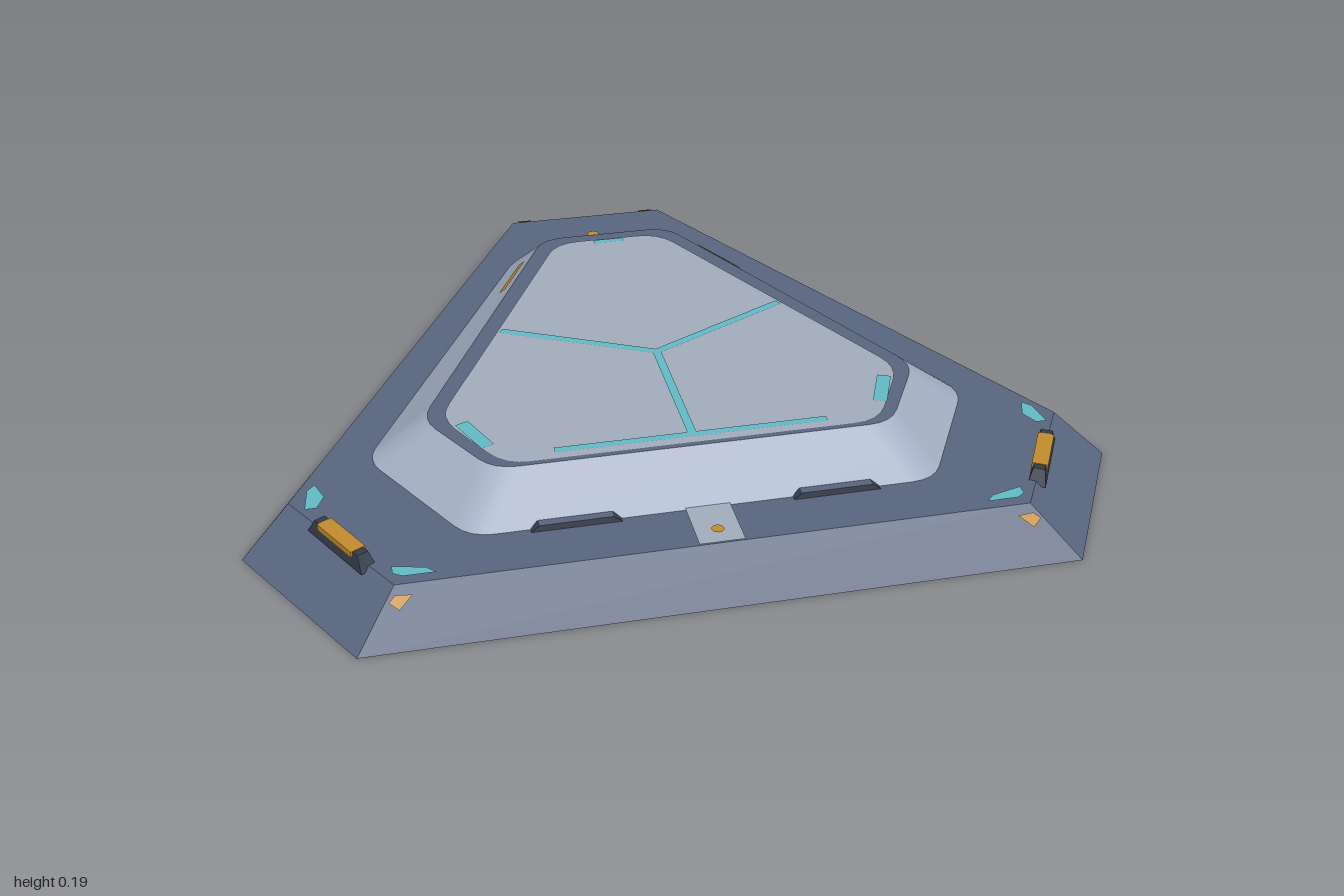
import * as THREE from 'three';

const mat = (name, color) => new THREE.MeshStandardMaterial({ name, color, side: THREE.DoubleSide });
const slate = mat('slate', 0x58657e);
const pale = mat('pale blue grey', 0xa3afc3);
const panelGrey = mat('panel grey', 0xa1abbb);
const cyan = mat('cyan', 0x60bac4);
const orange = mat('orange', 0xc18a2c);
const dark = mat('dark grey', 0x343b49);

const DECK = 0.095, TOP = 0.186;

// Mirrors right-half [x, z] points (back to front) into a closed loop
const mirror = half => [...half, ...half.slice().reverse().map(([x, z]) => [-x, z])];

// Rounds each corner of a loop with a short quadratic curve
function rounded(loop, r, steps = 4) {
  const out = [];
  loop.forEach((p, i) => {
    const c = new THREE.Vector2(...p);
    const toward = q => new THREE.Vector2(...q).sub(c).setLength(r).add(c);
    const a = toward(loop[(i + loop.length - 1) % loop.length]);
    const b = toward(loop[(i + 1) % loop.length]);
    new THREE.QuadraticBezierCurve(a, c, b).getPoints(steps).forEach(v => out.push([v.x, v.y]));
  });
  return out;
}

// Sloped wall between two loops with equal point counts
function wall(low, y0, high, y1, smooth) {
  const n = low.length, pos = [], index = [];
  low.forEach((p, i) => pos.push(p[0], y0, p[1], high[i][0], y1, high[i][1]));
  for (let i = 0; i < n; i++) {
    const a = 2 * i, b = 2 * ((i + 1) % n);
    index.push(a, a + 1, b, b, a + 1, b + 1);
  }
  let g = new THREE.BufferGeometry();
  g.setAttribute('position', new THREE.Float32BufferAttribute(pos, 3));
  g.setIndex(index);
  if (!smooth) g = g.toNonIndexed();
  g.computeVertexNormals();
  return g;
}

// Flat horizontal face facing up
function flat(loop, y) {
  const shape = new THREE.Shape(loop.map(([x, z]) => new THREE.Vector2(x, -z)));
  return new THREE.ShapeGeometry(shape).rotateX(-Math.PI / 2).translate(0, y, 0);
}

// Quad through four 3D corners
function quad(a, b, c, d) {
  const g = new THREE.BufferGeometry();
  g.setAttribute('position', new THREE.Float32BufferAttribute([a, b, c, a, c, d].flat(), 3));
  g.computeVertexNormals();
  return g;
}

// Straight stripe as a loop
function stripe(x0, z0, x1, z1, w) {
  const l = Math.hypot(x1 - x0, z1 - z0), nx = -(z1 - z0) / l * w / 2, nz = (x1 - x0) / l * w / 2;
  return [[x0 + nx, z0 + nz], [x1 + nx, z1 + nz], [x1 - nx, z1 - nz], [x0 - nx, z0 - nz]];
}

const disc = (x, z, rx, rz) => Array.from({ length: 12 }, (_, i) =>
  [x + rx * Math.cos(i * Math.PI / 6), z + rz * Math.sin(i * Math.PI / 6)]);
const rect = (w, d) => [[w, -d], [w, d], [-w, d], [-w, -d]];

export function createModel() {
  const model = new THREE.Group();
  model.name = 'landingPad';
  const add = (name, geo, material, parent = model) => {
    const m = new THREE.Mesh(geo, material);
    m.name = name;
    parent.add(m);
    return m;
  };

  // Open-bottomed base shell
  const baseLow = mirror([[0.23, -0.9], [1, 0.52], [0.78, 0.9]]);
  const baseHigh = mirror([[0.21, -0.8], [0.89, 0.465], [0.69, 0.8]]);
  add('baseSkirt', wall(baseLow, 0, baseHigh, DECK), slate);
  add('deck', flat(baseHigh, DECK), slate);

  // Raised platform with rim and panel
  const platLow = [[0.23, -0.59], [0.71, 0.33], [0.52, 0.67]];
  const platHigh = [[0.17, -0.5], [0.58, 0.33], [0.45, 0.56]];
  const rim = rounded(mirror(platHigh), 0.055);
  add('platformSlope', wall(rounded(mirror(platLow), 0.055), DECK, rim, TOP, true), pale);
  add('platformRim', flat(rim, TOP), slate);
  const panel = rounded(mirror([[0.14, -0.465], [0.54, 0.335], [0.425, 0.55]]), 0.06);
  add('topPanel', flat(panel, TOP + 0.002), panelGrey);

  // Cyan lines on the panel
  const line = (name, ...s) => add(name, flat(stripe(...s), TOP + 0.004), cyan);
  line('centreLine', 0, 0.15, 0, 0.52, 0.02);
  line('frontLine', -0.31, 0.52, 0.31, 0.52, 0.018);
  line('backMark', -0.04, -0.45, 0.04, -0.45, 0.018);

  // Marks on the deck show on both of its faces
  const deckMark = (name, loop, material) => {
    for (const dy of [0.003, -0.003]) add(name, flat(loop, DECK + dy), material);
  };
  deckMark('frontWalkway', [[-0.05, 0.66], [0.05, 0.66], [0.05, 0.8], [-0.05, 0.8]], panelGrey);
  add('undersidePatch', flat(disc(0, 0.6, 0.12, 0.08), DECK - 0.003), panelGrey);
  add('frontDot', flat(disc(0, 0.757, 0.014, 0.014), DECK + 0.006), orange);
  deckMark('backDot', disc(0, -0.68, 0.016, 0.016), orange);

  for (const s of [1, -1]) {
    const flip = loop => loop.map(([x, z]) => [s * x, z]);
    line('branchLine', 0, 0.15, s * 0.35, -0.025, 0.02);
    line('sideMark', s * 0.495, 0.37, s * 0.45, 0.475, 0.032);

    // Cyan corner marks
    deckMark('sideCornerMark', flip([[0.83, 0.41], [0.848, 0.43], [0.856, 0.5], [0.83, 0.5], [0.812, 0.46]]), cyan);
    deckMark('frontCornerMark', flip([[0.69, 0.74], [0.69, 0.765], [0.67, 0.778], [0.6, 0.778], [0.62, 0.758]]), cyan);

    // Orange stripe high on each platform side
    const onSlope = (u, t) => {
      const mix = (a, b, k) => a + (b - a) * k;
      const [x, z] = [0, 1].map(i => mix(mix(platLow[0][i], platLow[1][i], u), mix(platHigh[0][i], platHigh[1][i], u), t));
      return [s * (x + 0.003), mix(DECK, TOP, t) + 0.003, z];
    };
    add('slopeStripe', quad(onSlope(0.13, 0.68), onSlope(0.3, 0.68), onSlope(0.3, 0.87), onSlope(0.13, 0.87)), orange);

    // Orange marks on the front and back skirt
    for (const o of [0.003, -0.003]) {
      const front = (x, y) => [s * x, y + o, 0.9 - y / DECK * 0.1 + o];
      add('frontSkirtMark', quad(front(0.685, 0.058), front(0.705, 0.07), front(0.69, 0.08), front(0.655, 0.078)), orange);
      const back = (x, y) => [s * x, y + o, -0.9 + y / DECK * 0.1 - o];
      add('backSkirtMark', quad(back(0.165, 0.078), back(0.185, 0.078), back(0.195, 0.092), back(0.155, 0.092)), orange);
    }

    // Clamp across each front corner edge
    const clamp = new THREE.Group();
    clamp.name = 'cornerClamp';
    clamp.position.set(s * 0.785, 0, 0.64);
    clamp.rotation.y = s * 1.064;
    add('clampBody', wall(rect(0.103, 0.02), 0.085, rect(0.083, 0.013), 0.119), dark, clamp);
    add('clampTop', flat(rect(0.083, 0.013), 0.119), dark, clamp);
    add('clampLight', new THREE.BoxGeometry(0.13, 0.015, 0.036), orange, clamp).position.y = 0.113;
    model.add(clamp);

    // Low vent at the foot of the platform front
    const vent = new THREE.Group();
    vent.name = 'frontVent';
    vent.position.set(s * 0.29, 0, 0.668);
    add('ventBody', wall(rect(0.1, 0.013), DECK, rect(0.08, 0.01), 0.108), dark, vent);
    add('ventTop', flat(rect(0.08, 0.01), 0.108), slate, vent);
    model.add(vent);
  }
  return model;
}
